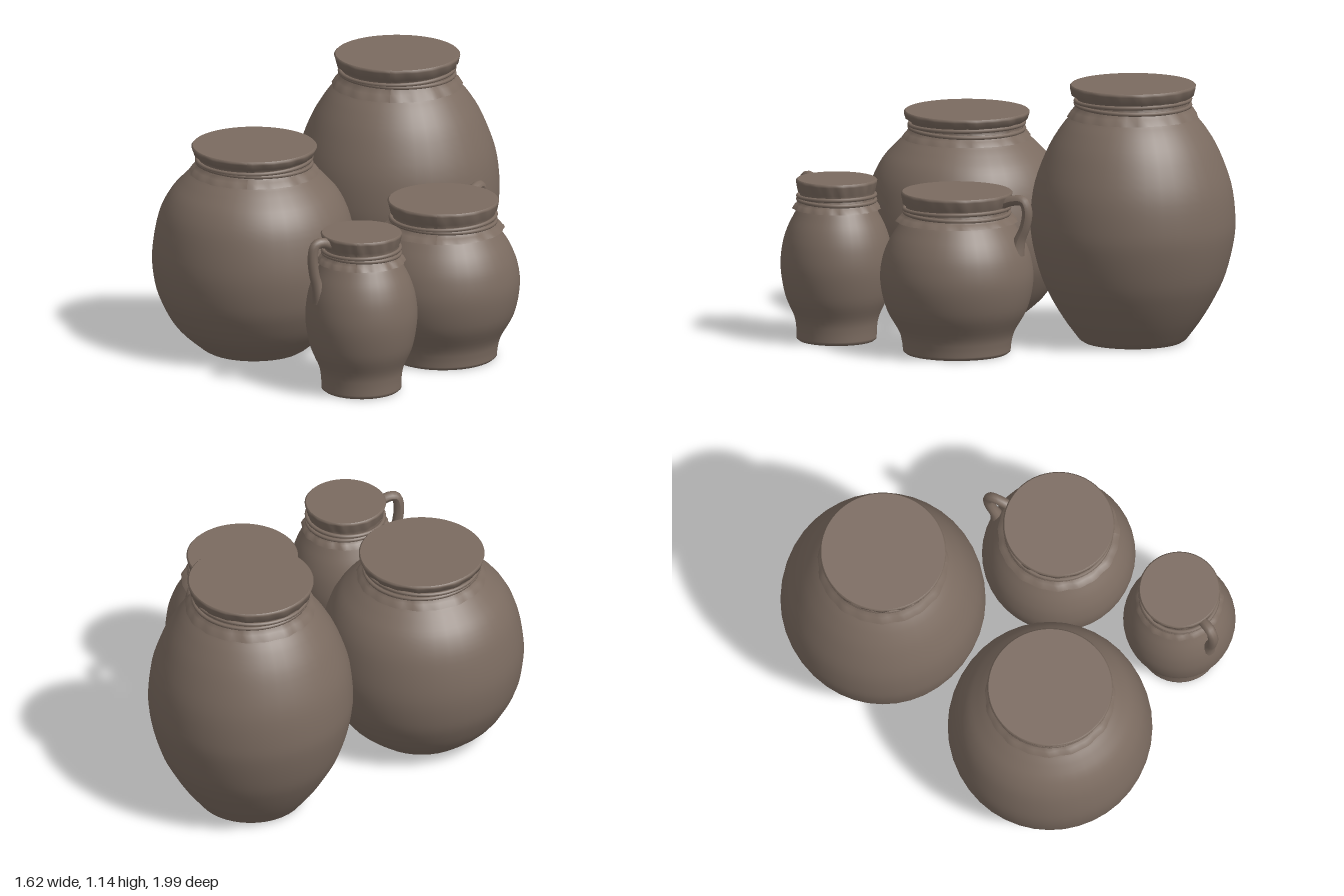
import * as THREE from 'three';

const clay = new THREE.MeshStandardMaterial({ color: 0x7b6b60, side: THREE.DoubleSide });
clay.name = 'brown clay';

// Each jar: centre, body profile [radius, height], cloth cover sizes and optional handle.
const JARS = [
  {
    name: 'tallJar', x: 0.18, z: -0.55,
    body: [[0.235, 0.012], [0.3, 0.1], [0.36, 0.2], [0.405, 0.3], [0.44, 0.44], [0.448, 0.55],
      [0.43, 0.7], [0.375, 0.85], [0.315, 0.95], [0.265, 1.01], [0.235, 1.06], [0.235, 1.12]],
    cover: { top: 1.14, r: 0.276, waist: 0.24, cord: 0.078, drop: 0.142, hem: 0.285 },
  },
  {
    name: 'roundJar', x: -0.365, z: 0.185,
    body: [[0.235, 0.012], [0.335, 0.1], [0.398, 0.2], [0.434, 0.3], [0.447, 0.44], [0.42, 0.6],
      [0.375, 0.7], [0.315, 0.77], [0.268, 0.815], [0.235, 0.86], [0.235, 0.905]],
    cover: { top: 0.925, r: 0.275, waist: 0.24, cord: 0.067, drop: 0.12, hem: 0.283 },
  },
  {
    name: 'wideJug', x: 0.47, z: 0.215, hollowFoot: true,
    body: [[0.235, 0.008], [0.24, 0.05], [0.255, 0.1], [0.31, 0.2], [0.335, 0.32], [0.325, 0.42],
      [0.295, 0.5], [0.25, 0.57], [0.215, 0.62], [0.215, 0.7]],
    cover: { top: 0.715, r: 0.244, waist: 0.219, cord: 0.082, drop: 0.13, hem: 0.266 },
    handle: { dir: [0.145, -0.33], path: [[0.2, 0.665], [0.27, 0.692], [0.32, 0.692], [0.338, 0.65],
      [0.328, 0.58], [0.303, 0.52], [0.285, 0.46]] },
  },
  {
    name: 'slimJug', x: 0.17, z: 0.745, hollowFoot: true,
    body: [[0.175, 0.008], [0.177, 0.06], [0.187, 0.11], [0.225, 0.2], [0.245, 0.32], [0.238, 0.42],
      [0.215, 0.5], [0.18, 0.57], [0.155, 0.62], [0.155, 0.7]],
    cover: { top: 0.715, r: 0.178, waist: 0.158, cord: 0.082, drop: 0.13, hem: 0.192 },
    handle: { dir: [-0.205, 0.155], path: [[0.14, 0.67], [0.2, 0.695], [0.233, 0.688], [0.247, 0.64],
      [0.24, 0.56], [0.224, 0.5], [0.205, 0.43]] },
  },
];

function addMesh(parent, name, geometry) {
  const mesh = new THREE.Mesh(geometry, clay);
  mesh.name = name;
  parent.add(mesh);
  return mesh;
}

const toPoints = (list) => list.map(([r, y]) => new THREE.Vector2(r, y));

// Smooth belly, ending in a closed base or a hollow foot ring
function bodyGeometry({ body, hollowFoot }) {
  const foot = body[0][0];
  const base = hollowFoot
    ? [[0, 0.075], [foot * 0.6, 0.07], [foot * 0.84, 0.045], [foot - 0.022, 0.006], [foot - 0.01, 0]]
    : [[0, 0.004], [foot * 0.6, 0.003], [foot - 0.02, 0]];
  const side = new THREE.SplineCurve(toPoints(body)).getPoints(40);
  return new THREE.LatheGeometry([...toPoints(base), ...side], 40);
}

// Gathered cloth: pleats ripple the rim and hem, and fade at the tied waist
function clothGeometry(c) {
  const tie = c.top - c.cord;
  const profile = [
    [c.hem, c.top - c.drop], [(c.hem + c.waist) / 2 + 0.004, (c.top - c.drop + tie) / 2 - 0.004],
    [c.waist, tie - 0.015], [c.waist, tie + 0.015],
    [c.r - 0.012, tie + 0.03], [c.r - 0.002, c.top - 0.014], [c.r, c.top - 0.006], [c.r - 0.006, c.top],
  ];
  const geo = new THREE.LatheGeometry(toPoints(profile), 72);
  const depth = [0.004, 0.005, 0.002, 0.003, 0.005, 0.002, 0, 0];
  const pos = geo.attributes.position;
  for (let i = 0; i < pos.count; i++) {
    const x = pos.getX(i), z = pos.getZ(i), a = Math.atan2(x, z);
    const ripple = 0.6 * Math.sin(19 * a) + 0.4 * Math.sin(11 * a + 1);
    const k = 1 + depth[i % profile.length] * ripple / Math.hypot(x, z);
    pos.setX(i, x * k);
    pos.setZ(i, z * k);
  }
  geo.computeVertexNormals();
  return geo;
}

// Bent strap in the radial plane, thicker where it meets the belly
function handleGeometry(path) {
  const curve = new THREE.CatmullRomCurve3(path.map(([r, y]) => new THREE.Vector3(r, y, 0)));
  const rings = 28, sides = 10;
  const geo = new THREE.TubeGeometry(curve, rings, 0.023, sides);
  const pos = geo.attributes.position, p = new THREE.Vector3();
  for (let i = 0; i < pos.count; i++) {
    const t = Math.floor(i / (sides + 1)) / rings;
    const centre = curve.getPointAt(t);
    const grow = 1 + 0.7 * Math.max(0, (t - 0.7) / 0.3) ** 2;
    p.fromBufferAttribute(pos, i).sub(centre).multiplyScalar(grow).add(centre);
    pos.setXYZ(i, p.x, p.y, p.z);
  }
  geo.computeVertexNormals();
  return geo;
}

function makeJar(spec) {
  const jar = new THREE.Group();
  jar.name = spec.name;
  jar.position.set(spec.x, 0, spec.z);
  addMesh(jar, 'body', bodyGeometry(spec));

  const c = spec.cover;
  addMesh(jar, 'clothCover', clothGeometry(c));
  const lid = addMesh(jar, 'clothTop', new THREE.CircleGeometry(c.r - 0.006, 72));
  lid.rotation.x = -Math.PI / 2;
  lid.position.y = c.top;

  // Two slightly tilted turns of cord around the neck
  for (const s of [-1, 1]) {
    const cord = addMesh(jar, 'cord', new THREE.TorusGeometry(c.waist + 0.011, 0.009, 8, 48));
    cord.rotation.set(Math.PI / 2 + s * 0.015, s * 0.02, 0);
    cord.position.y = c.top - c.cord + s * 0.009;
  }

  if (spec.handle) {
    const handle = addMesh(jar, 'handle', handleGeometry(spec.handle.path));
    const [dx, dz] = spec.handle.dir;
    handle.rotation.y = Math.atan2(-dz, dx);
  }
  return jar;
}

export function createModel() {
  const group = new THREE.Group();
  group.name = 'jarGroup';
  for (const spec of JARS) group.add(makeJar(spec));
  return group;
}
